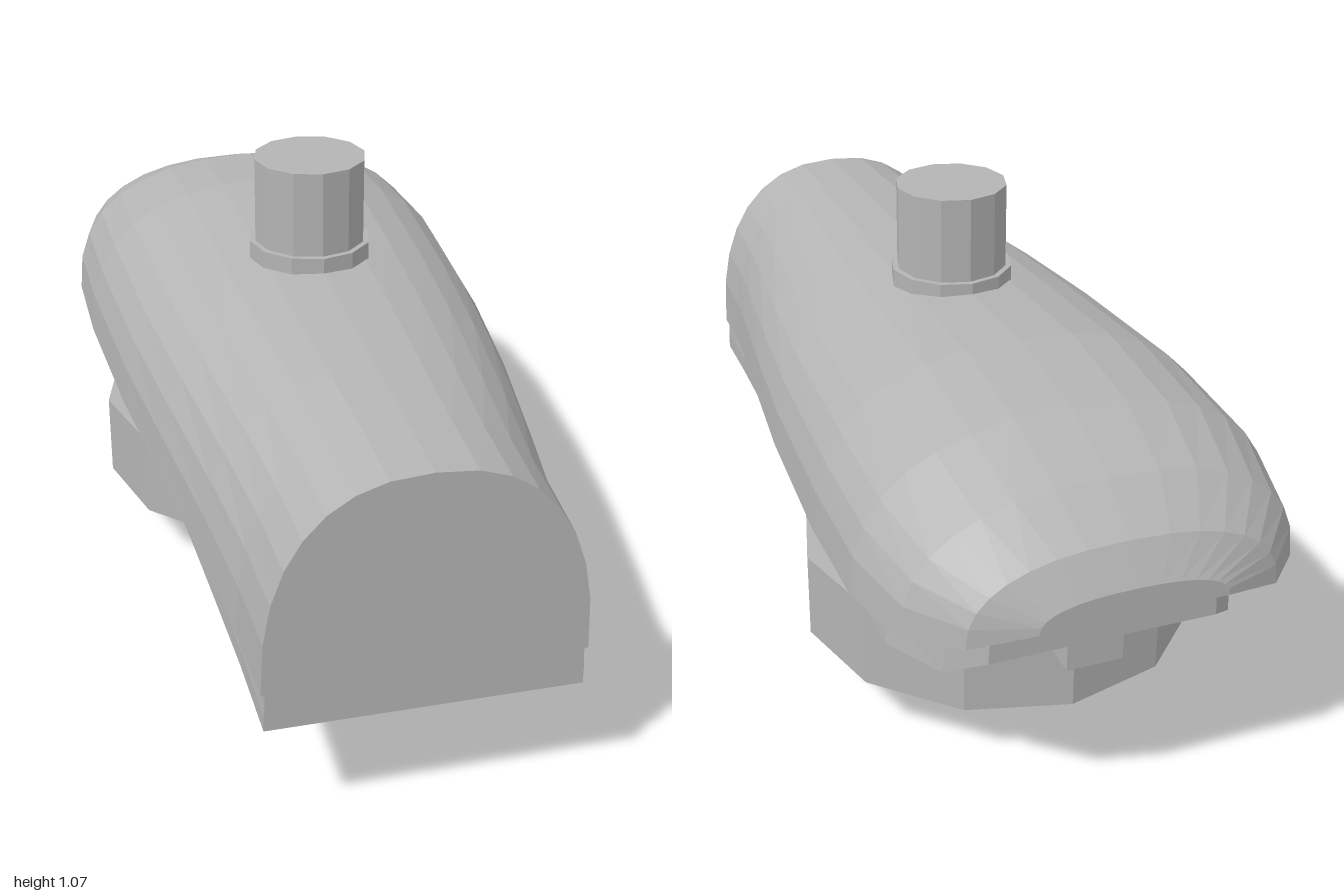
import * as THREE from 'three';

const grey = new THREE.MeshStandardMaterial({ color: 0xb4b4b4, flatShading: true });
grey.name = 'painted grey metal';

// Joins cross-sections (counter-clockwise, front to back) into a capped solid
function loft(sections) {
  const n = sections[0].points.length;
  const pos = [], idx = [];
  for (const { z, points } of sections) for (const [x, y] of points) pos.push(x, y, z);
  for (let i = 0; i < sections.length - 1; i++) {
    for (let j = 0; j < n; j++) {
      const a = i * n + j, b = i * n + (j + 1) % n;
      idx.push(a, a + n, b, b, a + n, b + n);
    }
  }
  for (const [s, flip] of [[0, false], [sections.length - 1, true]]) {
    const { z, points } = sections[s];
    const c = pos.length / 3;
    pos.push(0, points.reduce((t, p) => t + p[1], 0) / n, z);
    for (let j = 0; j < n; j++) {
      const a = s * n + j, b = s * n + (j + 1) % n;
      idx.push(c, flip ? b : a, flip ? a : b);
    }
  }
  const g = new THREE.BufferGeometry();
  g.setAttribute('position', new THREE.Float32BufferAttribute(pos, 3));
  g.setIndex(idx);
  g.computeVertexNormals();
  return g;
}

// Arched hood section: a half superellipse with a flat base
function arch(z, w, y0, y1) {
  const points = [], steps = 16, e = 2 / 2.42;
  for (let i = 0; i <= steps; i++) {
    const a = Math.PI * i / steps, c = Math.cos(a), s = Math.max(0, Math.sin(a));
    points.push([Math.sign(c) * w * Math.abs(c) ** e, y0 + (y1 - y0) * s ** e]);
  }
  return { z, points };
}

// Tray section: upright lip below, shoulder leaning in under the hood
function traySection(z, w, y0, y1, lean) {
  const h = y1 - y0;
  const side = [[w, y0], [w - lean * 0.2, y0 + h * 0.45], [w - lean, y0 + h * 0.75], [w - lean, y1 + 0.015]];
  return { z, points: [...side, ...side.map(([x, y]) => [-x, y]).reverse()] };
}

const lathe = (profile) =>
  new THREE.LatheGeometry(profile.map(([r, y]) => new THREE.Vector2(r, y)), 12);

export function createModel() {
  const model = new THREE.Group();
  const add = (name, geometry, x = 0, y = 0, z = 0) => {
    const m = new THREE.Mesh(geometry, grey);
    m.name = name;
    m.position.set(x, y, z);
    model.add(m);
    return m;
  };

  // Hood: z, half width, base height, crown height
  add('hood', loft([
    [1, 0.33, 0.37, 0.815], [0.82, 0.34, 0.385, 0.822], [0.6, 0.37, 0.435, 0.83],
    [0.3, 0.412, 0.475, 0.84], [0, 0.445, 0.49, 0.85], [-0.4, 0.468, 0.494, 0.865],
    [-0.67, 0.467, 0.495, 0.835], [-0.85, 0.425, 0.502, 0.77], [-0.955, 0.33, 0.52, 0.69],
    [-1, 0.2, 0.55, 0.61],
  ].map((s) => arch(...s))));

  // Lower tray: z, half width, bottom, top, inward lean
  add('tray', loft([
    [1, 0.325, 0.285, 0.37, 0.003], [0.8, 0.33, 0.295, 0.385, 0.005], [0.6, 0.343, 0.317, 0.435, 0.012],
    [0.4, 0.357, 0.34, 0.465, 0.02], [0, 0.38, 0.346, 0.49, 0.03], [-0.3, 0.39, 0.348, 0.493, 0.035],
    [-0.65, 0.39, 0.348, 0.495, 0.035], [-0.8, 0.32, 0.36, 0.499, 0.02], [-0.87, 0.25, 0.41, 0.502, 0.01],
  ].map((s) => traySection(...s))));

  // Lamp ring, hollow from below
  add('lampRing', lathe([[0, 0.31], [0.415, 0.31], [0.425, 0.15], [0.452, 0.15], [0.452, 0.35], [0, 0.35]]), 0, 0, -0.28);

  // Oval lens bowl hanging through the ring
  const bowl = [];
  for (let i = 0; i <= 6; i++) {
    const a = (i / 6) * Math.PI / 2;
    bowl.push([0.36 * Math.sin(a), 0.25 - 0.247 * Math.cos(a)]);
  }
  bowl.push([0.36, 0.32]);
  add('lensBowl', lathe(bowl), 0, 0, -0.28).scale.x = 0.88;

  // Light sensor on top
  add('sensorBase', new THREE.CylinderGeometry(0.14, 0.14, 0.06, 12), 0, 0.85, 0.02);
  add('sensorCap', new THREE.CylinderGeometry(0.127, 0.127, 0.205, 12), 0, 0.9725, 0.02);

  // Rear latch
  add('latch', new THREE.BoxGeometry(0.125, 0.1, 0.08), 0, 0.37, -0.79);

  return model;
}
